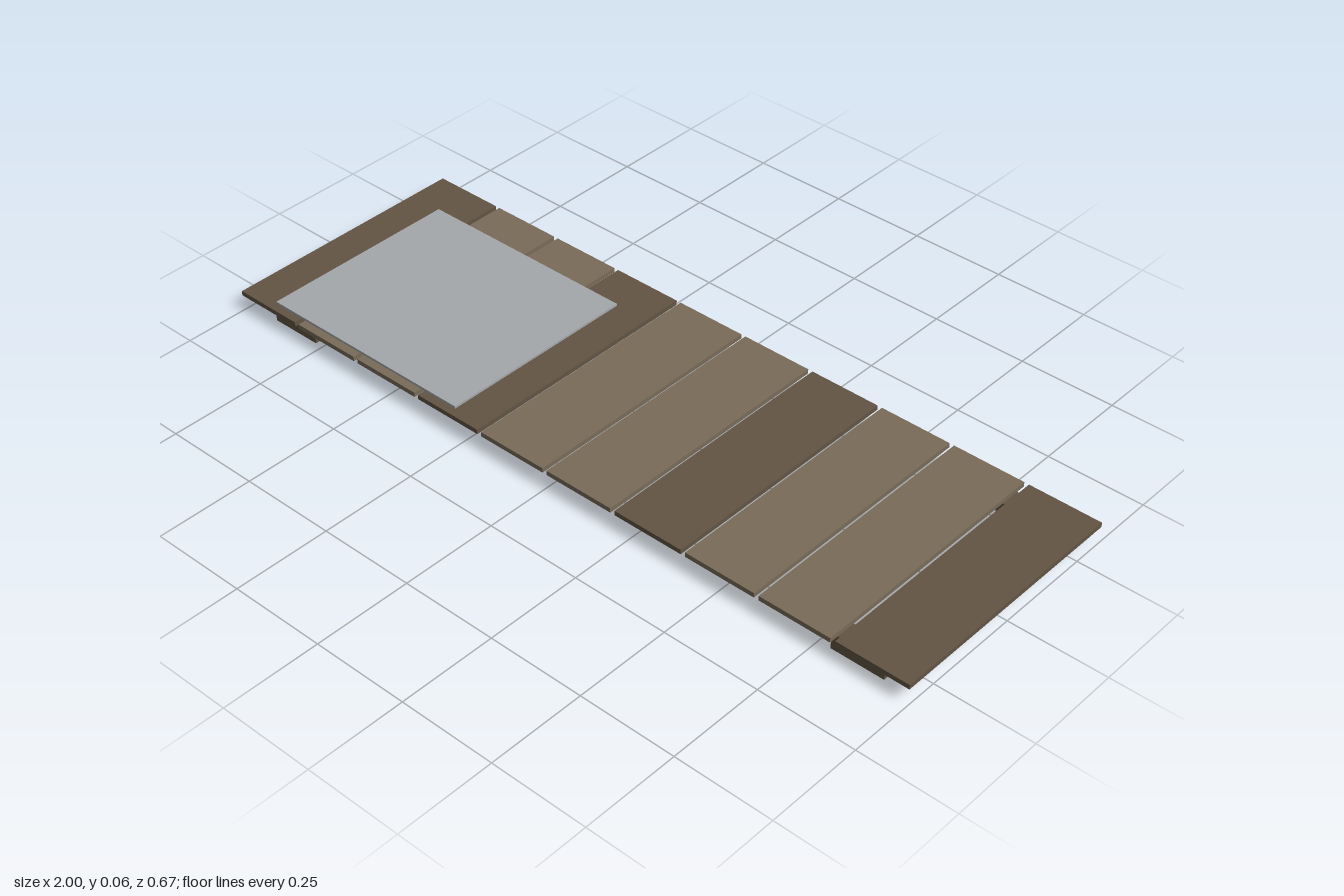
import * as THREE from 'three';

const DARK = new THREE.MeshStandardMaterial({ color: 0x625444 });
const LIGHT = new THREE.MeshStandardMaterial({ color: 0x796b58 });
const SHEET = new THREE.MeshStandardMaterial({ color: 0xa4a8aa });

// Box given by its minimum and maximum corners
function box(name, material, [x0, y0, z0], [x1, y1, z1]) {
  const mesh = new THREE.Mesh(new THREE.BoxGeometry(x1 - x0, y1 - y0, z1 - z0), material);
  mesh.position.set((x0 + x1) / 2, (y0 + y1) / 2, (z0 + z1) / 2);
  mesh.name = name;
  return mesh;
}

export function createModel() {
  const group = new THREE.Group();
  group.name = 'plankPlatform';

  const bottom = 0.043, top = 0.055, halfDepth = 0.333;

  // Ten planks with narrow gaps; every third one is darker
  const count = 10, width = 0.189, pitch = (2 - width) / (count - 1);
  for (let i = 0; i < count; i++) {
    const x = -1 + i * pitch;
    group.add(box(`plank${i + 1}`, i % 3 === 0 ? DARK : LIGHT,
      [x, bottom, -halfDepth], [x + width, top, halfDepth]));
  }

  // Four block feet under the end planks
  for (const x of [-0.841, 0.851]) {
    for (const z of [-0.282, 0.282]) {
      const name = (z > 0 ? 'front' : 'back') + (x > 0 ? 'Left' : 'Right') + 'Foot';
      group.add(box(name, DARK, [x - 0.069, 0, z - 0.026], [x + 0.069, bottom, z + 0.026]));
    }
  }

  // Thin sheet lying on the planks
  group.add(box('sheet', SHEET, [-0.9, top, -0.222], [-0.298, 0.061, 0.312]));

  return group;
}
